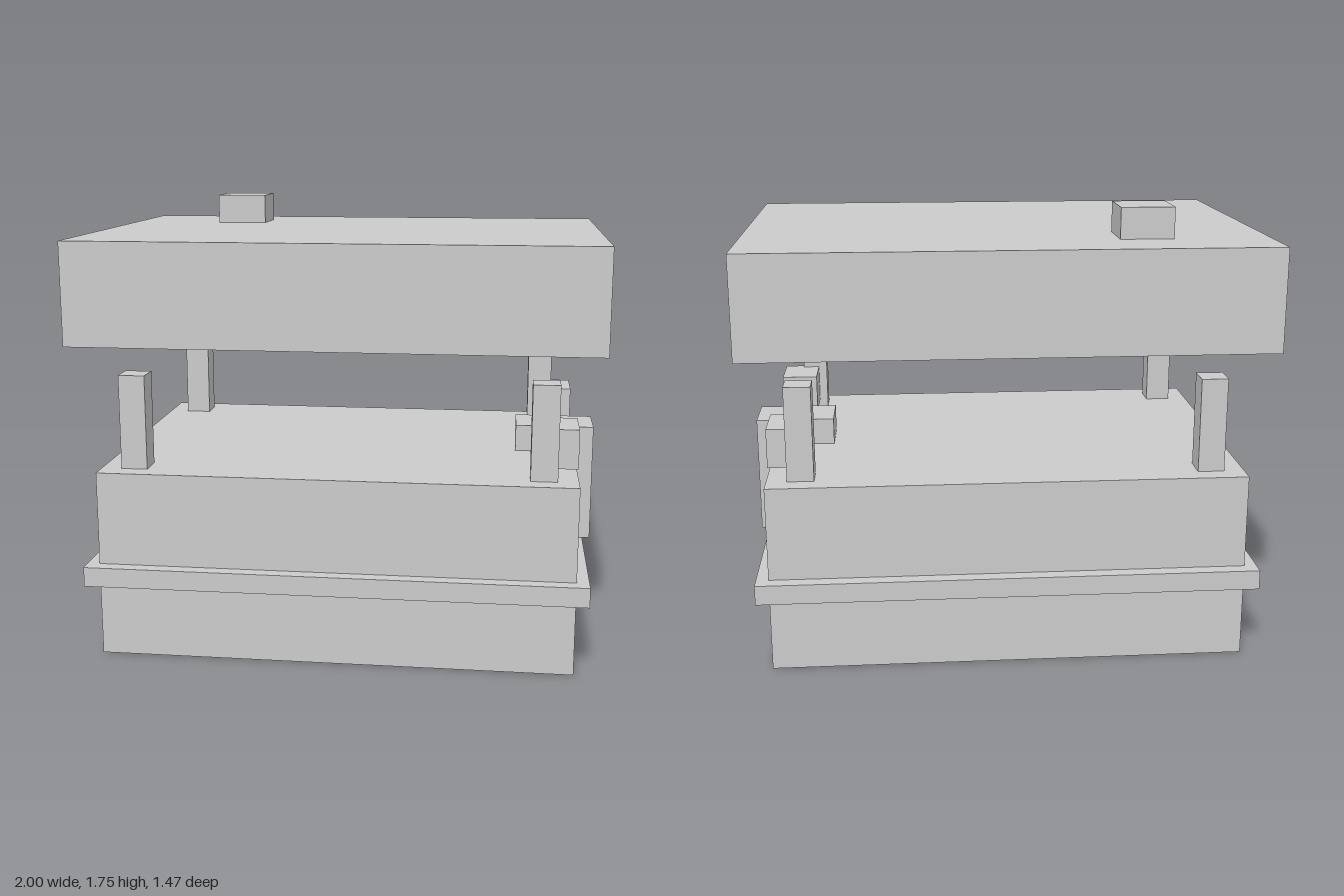
import * as THREE from 'three';

export function createModel() {
  const model = new THREE.Group();
  const material = new THREE.MeshStandardMaterial({ color: 0xcccccc, flatShading: true });

  // Adds a box given its extents along each axis
  function box(name, [x0, x1], [y0, y1], [z0, z1]) {
    const mesh = new THREE.Mesh(new THREE.BoxGeometry(x1 - x0, y1 - y0, z1 - z0), material);
    mesh.position.set((x0 + x1) / 2, (y0 + y1) / 2, (z0 + z1) / 2);
    mesh.name = name;
    model.add(mesh);
  }

  // Main body with a projecting band around it
  box('body', [-0.922, 0.922], [0, 0.737], [-0.656, 0.656]);
  box('band', [-0.97, 0.97], [0.293, 0.37], [-0.71, 0.71]);

  // Floating roof slab with a small block on top
  box('roof', [-1, 1], [1.24, 1.633], [-0.735, 0.735]);
  box('roofBlock', [-0.63, -0.425], [1.633, 1.752], [-0.5, -0.292]);

  // Upright block on the left side
  box('sideBlock', [0.685, 1], [0.372, 0.843], [-0.104, 0.104]);

  for (const sz of [-1, 1]) {
    const zRange = (a, b) => (sz > 0 ? [a, b] : [-b, -a]);
    // Corner posts
    box('cornerPost', [-0.843, -0.74], [0.737, 1.107], zRange(0.476, 0.579));
    box('cornerPost', [0.74, 0.843], [0.737, 1.107], zRange(0.476, 0.579));
    // Small blocks hovering just above the body's left edge
    box('smallBlock', [0.775, 0.922], [0.768, 0.922], zRange(0.292, 0.5));
  }

  return model;
}
